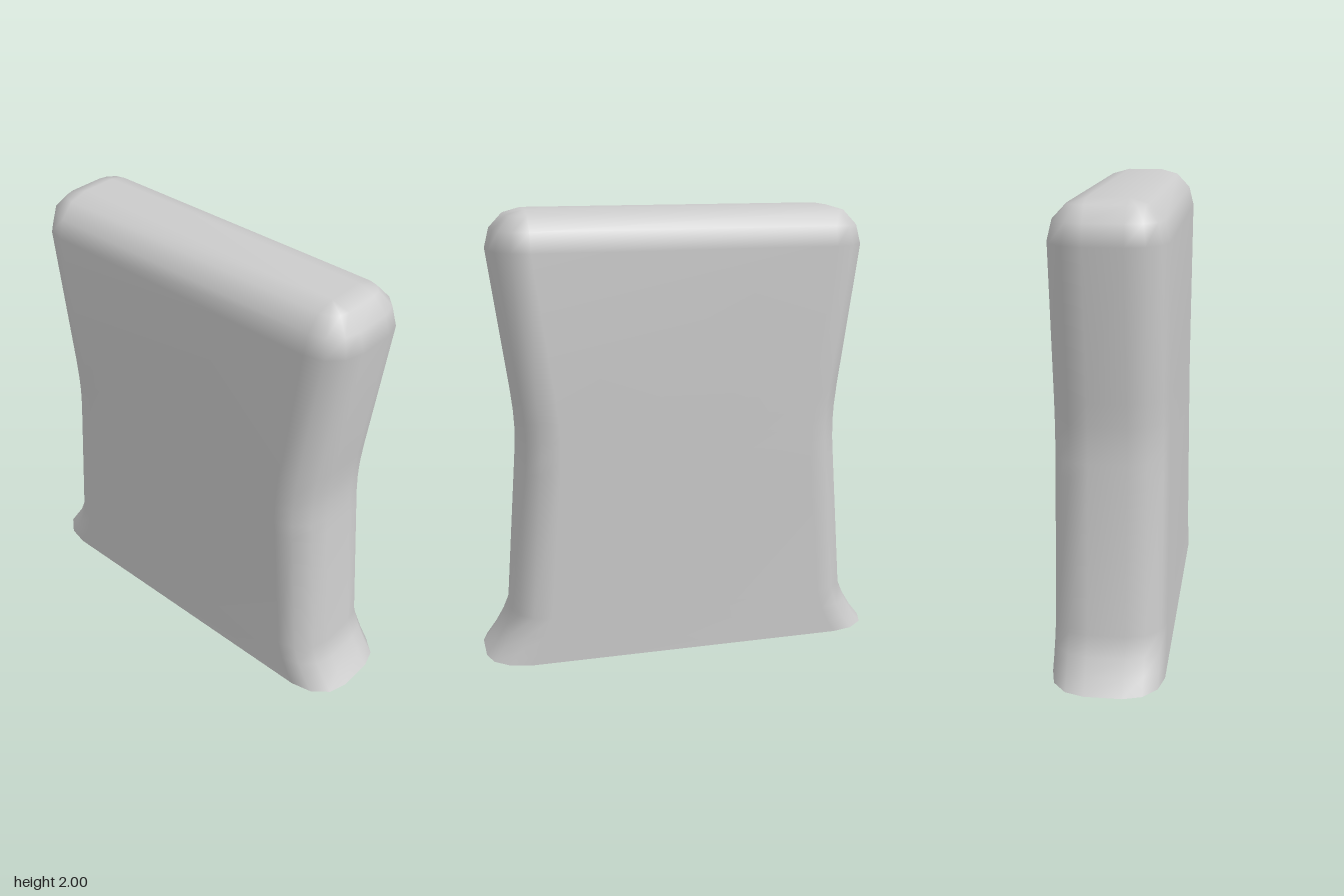
import * as THREE from 'three';
import { mergeVertices } from 'three/addons/utils/BufferGeometryUtils.js';

const STEPS = 3; // segments per rounded corner
const CORE_Z = 0.08; // flat half depth between the corner arcs
const CORNER = 0.16; // corner radius

// Closed rounded-rectangle loop: flat core plus a quarter arc at each corner
function section(y, coreX, radiusX, radiusZ) {
  const loop = [];
  [[1, 1], [-1, 1], [-1, -1], [1, -1]].forEach(([sx, sz], q) => {
    for (let i = 0; i <= STEPS; i++) {
      const t = (q + i / STEPS) * Math.PI / 2;
      loop.push(sx * coreX + radiusX * Math.cos(t), y, sz * CORE_Z + radiusZ * Math.sin(t));
    }
  });
  return loop;
}

function shellGeometry() {
  const rings = [];
  // Flared foot, narrow waist and widening shoulders: [y, half width, corner width]
  const profile = [
    [0, 0.91, 0.19], [0.06, 0.864, 0.18], [0.13, 0.822, 0.17], [0.215, 0.787, CORNER],
    [0.87, 0.737, CORNER], [0.94, 0.732, CORNER], [1.02, 0.73, CORNER],
    [1.1, 0.734, CORNER], [1.2, 0.745, CORNER], [1.83, 0.832, CORNER],
  ];
  for (const [y, w, r] of profile) rings.push(section(y, w - r, r, CORNER));
  // Rounded top edge shrinking onto the flat core
  for (let i = 1; i <= STEPS; i++) {
    const a = i / STEPS * Math.PI / 2;
    const r = i === STEPS ? 0 : CORNER * Math.cos(a);
    rings.push(section(1.83 + 0.17 * Math.sin(a), 0.672, r, r));
  }

  const n = 4 * (STEPS + 1);
  const index = [];
  for (let k = 0; k < rings.length - 1; k++) {
    for (let i = 0; i < n; i++) {
      const a = k * n + i, b = k * n + (i + 1) % n;
      const c = a + n, d = b + n;
      index.push(a, c, b);
      // Corner fans close to a point at the top
      if (k < rings.length - 2 || i % (STEPS + 1) === STEPS) index.push(b, c, d);
    }
  }
  // Flat top; the bottom stays open
  const [p, q, r, s] = [0, 1, 2, 3].map((j) => (rings.length - 1) * n + j * (STEPS + 1));
  index.push(p, r, q, p, s, r);

  const geometry = new THREE.BufferGeometry();
  geometry.setAttribute('position', new THREE.Float32BufferAttribute(rings.flat(), 3));
  geometry.setIndex(index);
  const merged = mergeVertices(geometry, 1e-4);
  merged.computeVertexNormals();
  return merged;
}

export function createModel() {
  const model = new THREE.Group();
  model.name = 'model';
  const material = new THREE.MeshStandardMaterial({ color: 0xcccccc, side: THREE.DoubleSide });
  const shell = new THREE.Mesh(shellGeometry(), material);
  shell.name = 'waistedShell';
  model.add(shell);
  return model;
}
